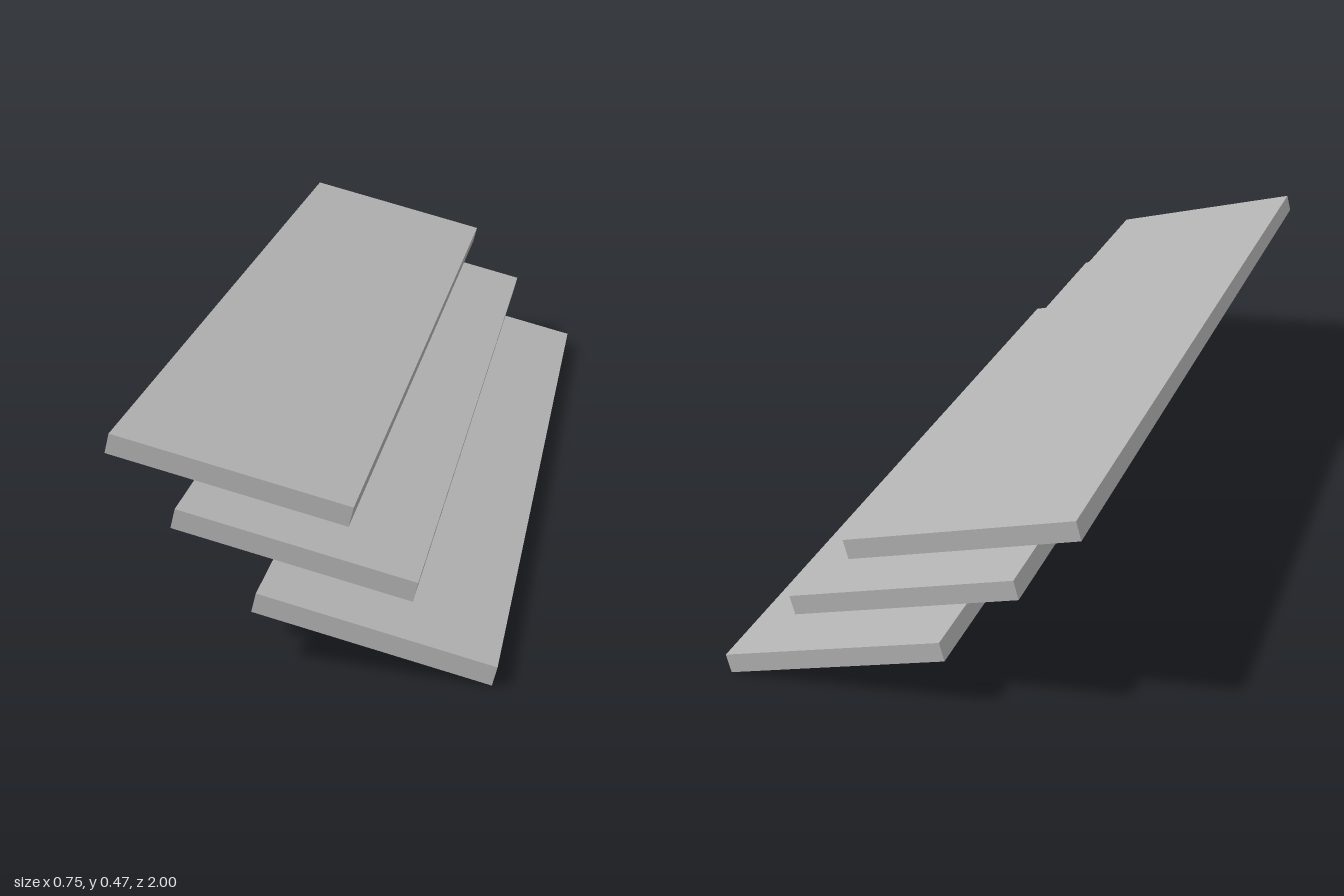
import * as THREE from 'three';

export function createModel() {
  const model = new THREE.Group();
  model.name = 'louvreSlats';

  const grey = new THREE.MeshStandardMaterial({ color: 0xb4b4b4 });
  grey.name = 'grey';

  // Three identical parallel slats, stepped down towards +x
  const slat = new THREE.BoxGeometry(0.478, 0.041, 2);
  const tilt = -Math.atan2(0.117, 0.463);
  const slats = [
    ['upperSlat', -0.137, 0.388],
    ['middleSlat', -0.016, 0.243],
    ['lowerSlat', 0.136, 0.0787],
  ];
  for (const [name, x, y] of slats) {
    const mesh = new THREE.Mesh(slat, grey);
    mesh.name = name;
    mesh.position.set(x, y, 0);
    mesh.rotation.z = tilt;
    model.add(mesh);
  }
  return model;
}
